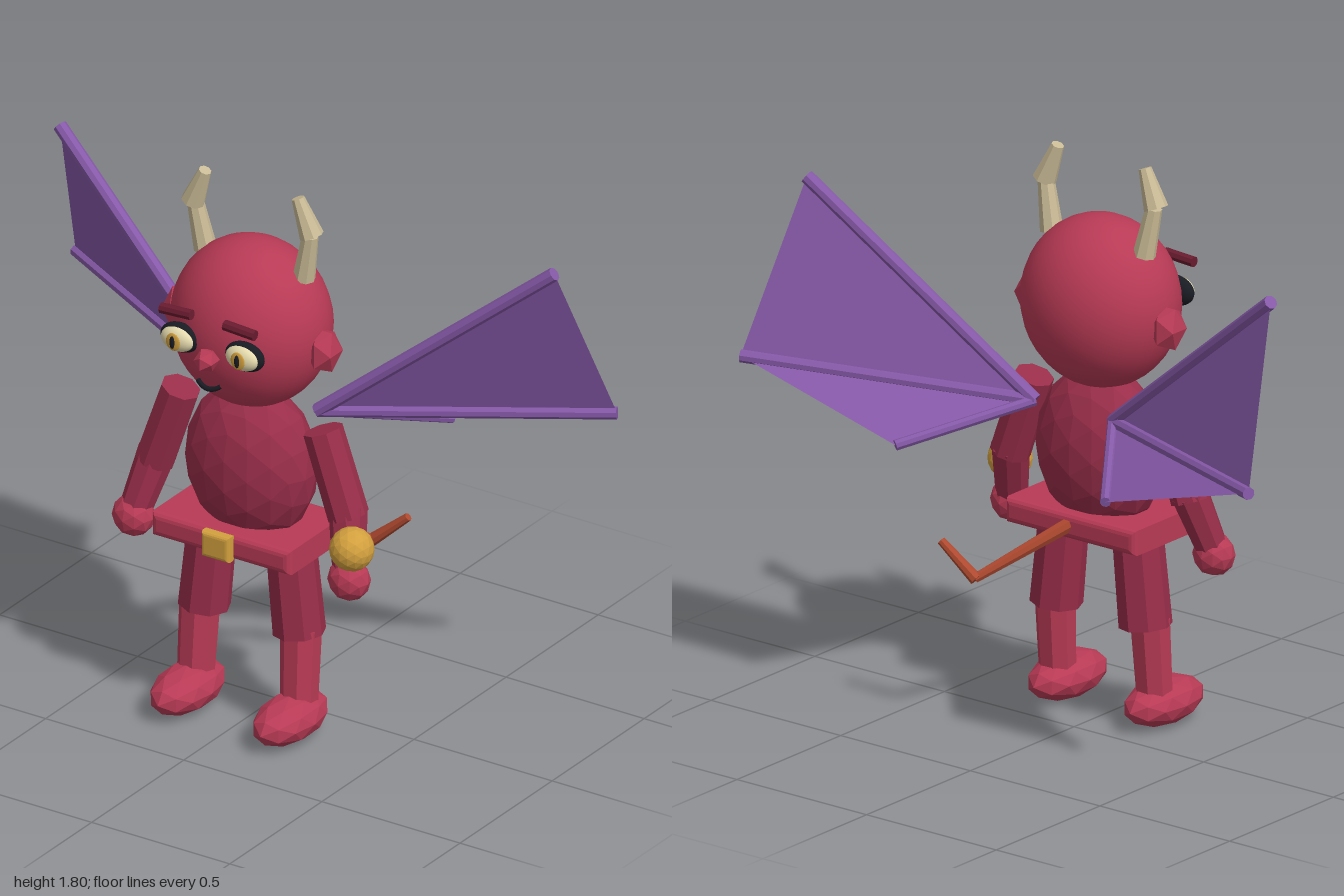
import * as THREE from 'three';

const mat = (name, color, extra = {}) => {
  const m = new THREE.MeshStandardMaterial({ color, ...extra });
  m.name = name;
  return m;
};

export function createModel() {
  const root = new THREE.Group();
  root.name = 'wingedImp';
  const flat = { flatShading: true };
  const red = mat('red', 0xb83a55, flat);
  const redSmooth = red.clone();
  redSmooth.flatShading = false;
  const darkRed = mat('darkRed', 0x9a2e4a, flat);
  const brow = mat('browMaroon', 0x6a1c30, flat);
  const gold = mat('gold', 0xd2a03e, flat);
  const horn = mat('hornBeige', 0xcabb96, flat);
  const purple = mat('wingPurple', 0x8659a8, { flatShading: true, side: THREE.DoubleSide });
  const rust = mat('tailRust', 0xb04a30, flat);
  const cream = mat('eyeCream', 0xe6dbae);
  const black = mat('black', 0x1a1c24);

  const add = (name, geo, material, parent = root) => {
    const m = new THREE.Mesh(geo, material);
    m.name = name;
    parent.add(m);
    return m;
  };
  // ellipsoid from any unit ball geometry
  const ball = (name, geo, material, pos, radii) => {
    const m = add(name, geo, material);
    m.position.set(...pos);
    m.scale.set(...radii);
    return m;
  };
  // tapered rod from a to b
  const rod = (name, a, b, ra, rb, material, sides = 8) => {
    const va = new THREE.Vector3(...a), vb = new THREE.Vector3(...b);
    const dir = vb.clone().sub(va);
    const m = add(name, new THREE.CylinderGeometry(rb, ra, dir.length(), sides), material);
    m.position.copy(va).add(vb).multiplyScalar(0.5);
    m.quaternion.setFromUnitVectors(new THREE.Vector3(0, 1, 0), dir.normalize());
    return m;
  };
  // box with chamfered edges
  const slab = (name, w, h, d, c, pos, material) => {
    const x = w / 2 - c, y = h / 2 - c;
    const s = new THREE.Shape();
    s.moveTo(-x, -y).lineTo(x, -y).lineTo(x, y).lineTo(-x, y).closePath();
    const g = new THREE.ExtrudeGeometry(s, {
      depth: d - 2 * c, bevelThickness: c, bevelSize: c, bevelSegments: 3
    });
    g.translate(0, 0, c - d / 2);
    add(name, g, material).position.set(...pos);
  };
  const ico = [0, 1, 2].map((d) => new THREE.IcosahedronGeometry(1, d));
  const sphere = new THREE.SphereGeometry(1, 32, 20);

  // head, body and belt
  ball('head', sphere, redSmooth, [0, 1.34, 0.13], [0.256, 0.27, 0.227]);
  ball('body', ico[2], darkRed, [0, 0.87, 0.13], [0.22, 0.26, 0.157]);
  slab('belt', 0.5, 0.08, 0.33, 0.02, [0, 0.653, 0.14], red);
  slab('buckle', 0.1, 0.084, 0.04, 0.012, [0, 0.655, 0.315], gold);
  ball('nose', ico[0], red, [0, 1.305, 0.375], [0.038, 0.038, 0.046]);

  // smiling mouth
  const smile = new THREE.QuadraticBezierCurve3(
    new THREE.Vector3(-0.042, 1.222, 0.36),
    new THREE.Vector3(0, 1.188, 0.375),
    new THREE.Vector3(0.042, 1.222, 0.36));
  add('mouth', new THREE.TubeGeometry(smile, 10, 0.008, 6), black);

  for (const s of [-1, 1]) {
    const side = s > 0 ? 'left' : 'right';
    // face
    ball(side + 'Ear', ico[0], red, [s * 0.26, 1.307, 0.128], [0.054, 0.076, 0.065]);
    ball(side + 'EyeRim', sphere, black, [s * 0.117, 1.337, 0.343], [0.069, 0.048, 0.03]);
    ball(side + 'Eye', sphere, cream, [s * 0.117, 1.337, 0.357], [0.058, 0.04, 0.028]);
    ball(side + 'Iris', sphere, gold, [s * 0.117, 1.337, 0.383], [0.025, 0.029, 0.006]);
    ball(side + 'Pupil', sphere, black, [s * 0.117, 1.337, 0.388], [0.009, 0.021, 0.005]);
    rod(side + 'Brow', [s * 0.17, 1.431, 0.367], [s * 0.06, 1.437, 0.367], 0.017, 0.017, brow);

    // horns
    rod(side + 'HornBase', [s * 0.178, 1.525, 0.115], [s * 0.208, 1.68, 0.125], 0.036, 0.026, horn);
    rod(side + 'HornTip', [s * 0.215, 1.68, 0.127], [s * 0.168, 1.797, 0.132], 0.038, 0.02, horn);

    // arms
    rod(side + 'UpperArm', [s * 0.257, 1.04, 0.13], [s * 0.35, 0.775, 0.13], 0.062, 0.064, darkRed);
    rod(side + 'Forearm', [s * 0.345, 0.8, 0.125], [s * 0.388, 0.61, 0.185], 0.06, 0.05, darkRed);
    ball(side + 'Hand', ico[1], red, [s * 0.39, 0.597, 0.187], [0.068, 0.068, 0.062]);

    // legs
    rod(side + 'Thigh', [s * 0.14, 0.64, 0.13], [s * 0.172, 0.335, 0.13], 0.078, 0.082, darkRed);
    rod(side + 'Shin', [s * 0.183, 0.36, 0.137], [s * 0.187, 0.1, 0.155], 0.064, 0.058, red);
    ball(side + 'Foot', ico[1], red, [s * 0.186, 0.08, 0.2], [0.09, 0.072, 0.163]);

    // wings: three struts with a membrane between them
    const base = [s * 0.15, 1.02, 0];
    const tips = [[s * 0.895, 1.617, -0.17], [s * 0.98, 1.083, -0.383], [s * 0.405, 0.918, -0.355]];
    const radii = [0.022, 0.02, 0.017];
    tips.forEach((t, i) => {
      rod(side + 'WingStrut' + (i + 1), base, t, radii[i], radii[i], purple);
    });
    const web = new THREE.BufferGeometry();
    const corners = [base, tips[0], tips[1], base, tips[1], tips[2]];
    web.setAttribute('position', new THREE.Float32BufferAttribute(corners.flat(), 3));
    web.computeVertexNormals();
    add(side + 'WingMembrane', web, purple);
  }

  // ball held by the left hand
  ball('goldBall', ico[2], gold, [0.417, 0.717, 0.213], [0.069, 0.069, 0.069]);

  // bent tail
  rod('tailBase', [0, 0.665, 0], [0.2, 0.502, -0.228], 0.024, 0.015, rust);
  rod('tailTip', [0.195, 0.5, -0.228], [0.315, 0.603, -0.247], 0.02, 0.013, rust);

  return root;
}
